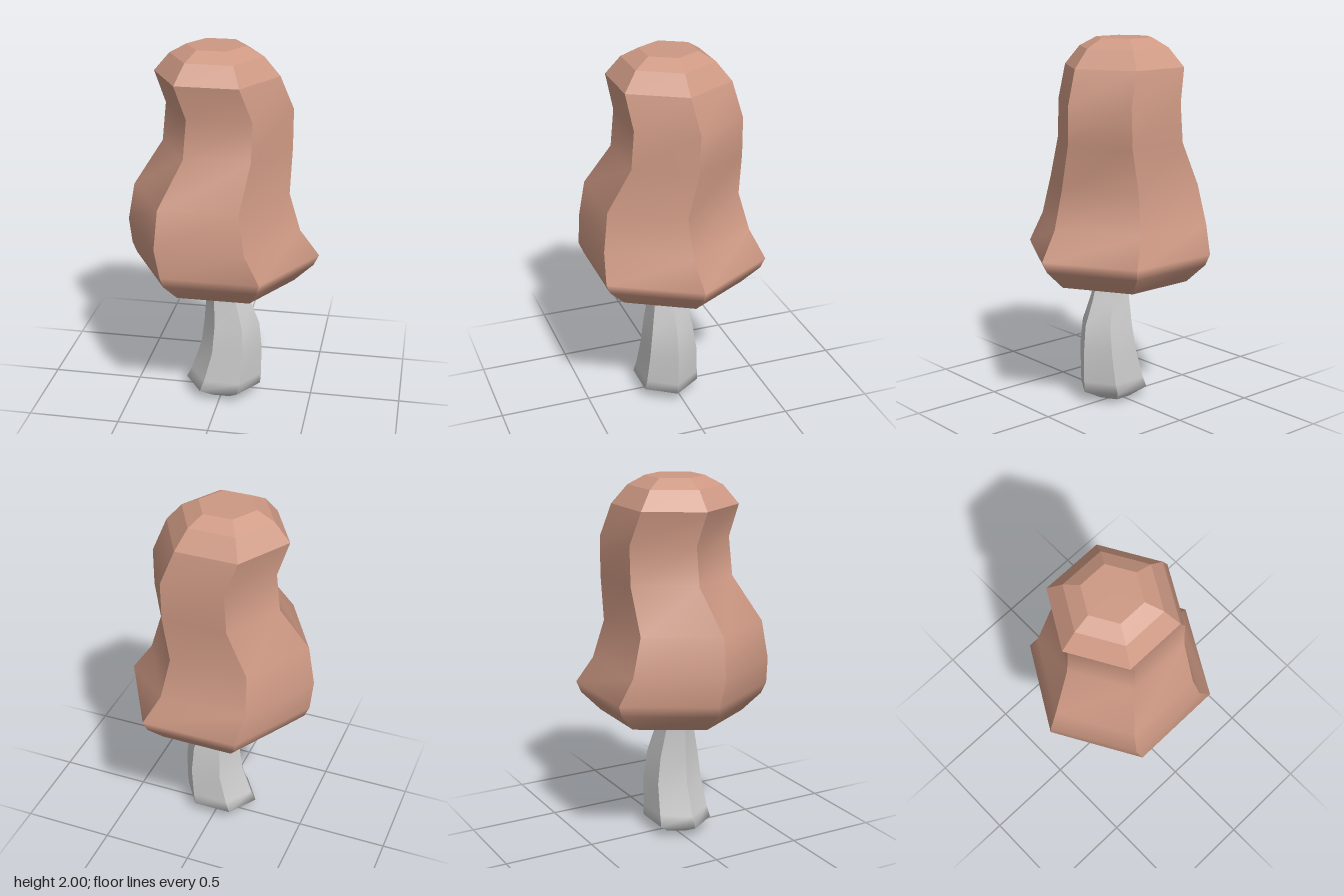
import * as THREE from 'three';

// Hexagonal loft. Each section is [y, centreX, centreZ, radiusX, halfDepth?].
// Sides are separate strips: sharp between sides, smooth along the height unless flat.
function loft(sections, flat = false) {
  const sides = 6, pos = [], index = [];
  const point = (s, i) => {
    const [y, cx, cz, rx, half = rx * Math.sqrt(3) / 2] = s;
    const a = (i / sides) * Math.PI * 2;
    return [cx + rx * Math.cos(a), y, cz + (half / (Math.sqrt(3) / 2)) * Math.sin(a)];
  };
  for (let i = 0; i < sides; i++) {
    const base = pos.length / 3;
    sections.forEach((s) => pos.push(...point(s, i), ...point(s, i + 1)));
    for (let k = 0; k < sections.length - 1; k++) {
      const b = base + k * 2, t = b + 2;
      if (sections[k][3] > 0) index.push(b + 1, b, t);
      if (sections[k + 1][3] > 0) index.push(b + 1, t, t + 1);
    }
  }
  let geo = new THREE.BufferGeometry();
  geo.setAttribute('position', new THREE.Float32BufferAttribute(pos, 3));
  geo.setIndex(index);
  if (flat) geo = geo.toNonIndexed();
  geo.computeVertexNormals();
  return geo;
}

export function createModel() {
  const model = new THREE.Group();
  const capMaterial = new THREE.MeshStandardMaterial({ color: 0xce9984 });
  const stemMaterial = new THREE.MeshStandardMaterial({ color: 0xcccccc });

  const add = (parent, name, geometry, material) => {
    const mesh = new THREE.Mesh(geometry, material);
    mesh.name = name;
    parent.add(mesh);
  };

  // Stem: leaning, slightly flattened, with a small tapered foot
  const stem = new THREE.Group();
  stem.name = 'stem';
  const foot = [0, 0.005, 0.037, 0.095, 0.084];
  add(stem, 'stemBase', loft([[0, 0.005, 0.037, 0], foot], true), stemMaterial);
  add(stem, 'stemShaft', loft([
    foot,
    [0.06, 0.002, 0.038, 0.212, 0.158],
    [0.12, 0.018, 0.036, 0.2, 0.15],
    [0.29, 0.048, 0.034, 0.172, 0.137],
    [0.44, 0.05, 0.037, 0.155, 0.118],
    [0.58, 0.028, 0.038, 0.122, 0.09],
    [0.70, 0.008, 0.042, 0.105, 0.078],
    [0.92, -0.04, 0.042, 0.09, 0.07],
  ]), stemMaterial);
  model.add(stem);

  // Cap: tall wavy body, faceted crown, hollow underside
  const cap = new THREE.Group();
  cap.name = 'cap';
  const rim = [0.70, 0, 0, 0.39];
  const shoulder = [1.85, -0.04, 0.002, 0.335];
  add(cap, 'capUnderside', loft([
    [0.9, 0, 0, 0],
    [0.9, 0, 0, 0.22],
    [0.70, 0, 0, 0.29],
    rim,
  ], true), capMaterial);
  add(cap, 'capBody', loft([
    rim,
    [0.80, 0, 0, 0.495],
    [0.86, 0.002, 0.002, 0.522],
    [1.01, -0.055, 0.027, 0.475],
    [1.22, -0.065, 0.037, 0.425],
    [1.46, 0.012, -0.022, 0.353],
    [1.67, 0.022, -0.028, 0.343],
    shoulder,
  ]), capMaterial);
  add(cap, 'capCrown', loft([
    shoulder,
    [1.95, -0.04, 0.003, 0.25],
    [2.0, -0.042, 0, 0.157],
    [2.0, -0.042, 0, 0],
  ], true), capMaterial);
  model.add(cap);

  return model;
}
